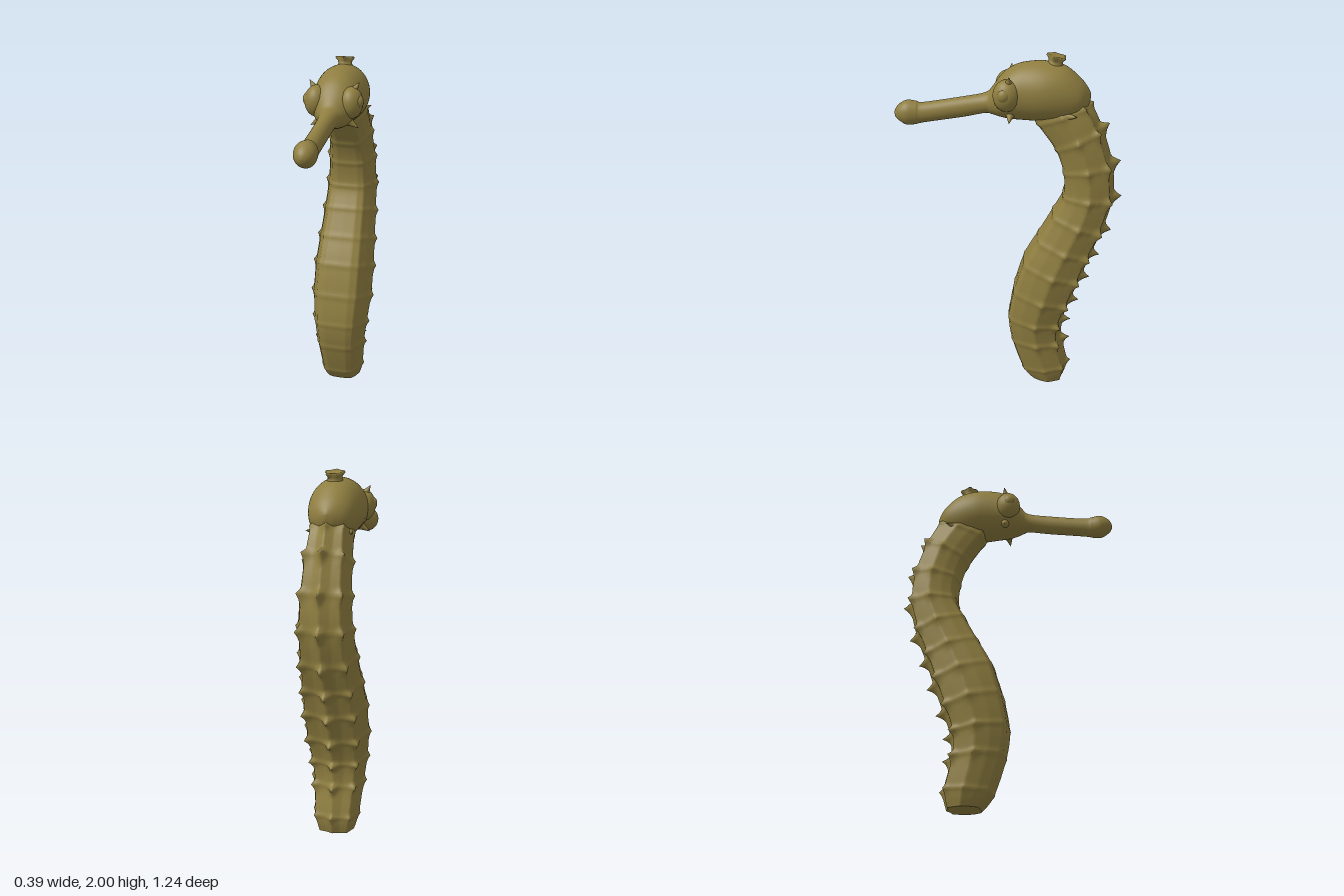
import * as THREE from 'three';

const skin = new THREE.MeshStandardMaterial({ color: 0x8f7e40 });
skin.name = 'olive skin';

// Catmull-Rom blend of table rows at parameter t (in rows)
function rowAt(rows, t) {
  const n = rows.length - 1;
  const i = Math.min(Math.floor(t), n - 1), f = t - i;
  const r = k => rows[Math.max(0, Math.min(n, k))];
  return rows[0].map((_, c) => {
    const p0 = r(i - 1)[c], p1 = r(i)[c], p2 = r(i + 1)[c], p3 = r(i + 2)[c];
    const a = (p2 - p0) / 2, b = (p3 - p1) / 2;
    return p1 + a * f + (3 * (p2 - p1) - 2 * a - b) * f * f + (2 * (p1 - p2) + a + b) * f * f * f;
  });
}

// Skin closed rings of points, with a flat cap on both ends
function loft(rings) {
  const pos = [], idx = [], m = rings[0].length;
  rings.forEach(ring => ring.forEach(p => pos.push(p.x, p.y, p.z)));
  for (let i = 0; i < rings.length - 1; i++) {
    for (let j = 0; j < m; j++) {
      const a = i * m + j, b = i * m + (j + 1) % m;
      idx.push(a, b, b + m, a, b + m, a + m);
    }
  }
  [rings[0], rings[rings.length - 1]].forEach((ring, end) => {
    const start = pos.length / 3;
    const mid = new THREE.Vector3();
    ring.forEach(p => { pos.push(p.x, p.y, p.z); mid.addScaledVector(p, 1 / m); });
    pos.push(mid.x, mid.y, mid.z);
    for (let j = 0; j < m; j++) {
      const a = start + j, b = start + (j + 1) % m;
      if (end) idx.push(a, b, start + m); else idx.push(b, a, start + m);
    }
  });
  const g = new THREE.BufferGeometry();
  g.setAttribute('position', new THREE.Float32BufferAttribute(pos, 3));
  g.setIndex(idx);
  g.computeVertexNormals();
  return g;
}

// Body rings: front z, front y, back z, back y, half width
const BODY = [
  [-0.146, 0, -0.33, 0, 0.105],
  [-0.085, 0.08, -0.35, 0.1, 0.128],
  [-0.02, 0.28, -0.315, 0.27, 0.146],
  [0, 0.44, -0.318, 0.4, 0.163],
  [-0.03, 0.62, -0.362, 0.54, 0.178],
  [-0.085, 0.8, -0.42, 0.7, 0.178],
  [-0.165, 0.95, -0.47, 0.85, 0.168],
  [-0.245, 1.1, -0.53, 1.01, 0.157],
  [-0.3, 1.22, -0.575, 1.21, 0.147],
  [-0.295, 1.36, -0.56, 1.41, 0.137],
  [-0.25, 1.49, -0.495, 1.61, 0.127],
  [-0.15, 1.63, -0.425, 1.74, 0.112],
  [-0.08, 1.72, -0.28, 1.85, 0.08],
];
// Half cross-section from belly centre round to spine: across, front-to-back
const SECTION = [[0, 0], [0.42, 0.005], [0.66, 0.05], [0.86, 0.25], [1, 0.5],
  [0.88, 0.69], [0.74, 0.89], [0.36, 0.92], [0, 1]];
// Ridges that carry spikes: section index and spike length
const RIDGES = [[4, 0.012], [6, 0.026], [8, 0.042]];

function bodyGeometry() {
  const SUB = 6, STEPS = 14, half = (SECTION.length - 1) * SUB;
  const rings = [];
  for (let s = 0; s <= (BODY.length - 1) * STEPS; s++) {
    const t = s / STEPS;
    const [fz, fy, bz, by, w] = rowAt(BODY, t);
    const k = Math.round(t), d = t - k;
    const plated = k >= 1 && k <= 11;
    // plate edge: a fine raised line; spike: long slope below, short above
    const edge = plated ? 0.005 * Math.exp(-((d / 0.08) ** 2)) : 0;
    const rise = !plated ? 0 : d <= 0 ? Math.max(0, 1 + d / 0.36) ** 1.5 : Math.max(0, 1 - d / 0.2) ** 1.5;
    const size = k === 1 || k === 11 ? 0.4 : 1;
    const len = Math.hypot(bz - fz, by - fy);
    const dz = (bz - fz) / len, dy = (by - fy) / len;
    const ring = [];
    for (let j = 0; j < half * 2; j++) {
      const side = j <= half ? 1 : -1;
      const q = (j <= half ? j : 2 * half - j) / SUB;
      const i = Math.min(Math.floor(q), SECTION.length - 2), f = q - i;
      let x = w * THREE.MathUtils.lerp(SECTION[i][0], SECTION[i + 1][0], f);
      let v = len * THREE.MathUtils.lerp(SECTION[i][1], SECTION[i + 1][1], f);
      let push = edge;
      RIDGES.forEach(([at, amp]) => {
        push += amp * size * rise * Math.max(0, 1 - Math.abs(q - at) / 0.7) ** 1.6;
      });
      const ox = x, ov = v - len * 0.5, o = Math.hypot(ox, ov);
      x += push * ox / o;
      v += push * ov / o;
      ring.push(new THREE.Vector3(side * x, Math.max(0, fy + dy * v), fz + dz * v));
    }
    rings.push(ring);
  }
  return loft(rings);
}

// Head and snout, back to front: z, top, bottom, half width
const HEAD = [
  [-0.43, 1.79, 1.77, 0.005], [-0.415, 1.82, 1.72, 0.045], [-0.37, 1.875, 1.67, 0.1],
  [-0.285, 1.94, 1.64, 0.132], [-0.18, 1.96, 1.64, 0.145], [-0.07, 1.95, 1.645, 0.134],
  [0, 1.92, 1.65, 0.125], [0.05, 1.875, 1.66, 0.105], [0.09, 1.82, 1.67, 0.072],
  [0.13, 1.785, 1.675, 0.053], [0.25, 1.76, 1.65, 0.047], [0.46, 1.725, 1.615, 0.047],
  [0.5, 1.73, 1.605, 0.053], [0.55, 1.735, 1.6, 0.06], [0.59, 1.715, 1.62, 0.046],
  [0.612, 1.69, 1.64, 0.024], [0.62, 1.667, 1.663, 0.002],
];

function headGeometry() {
  const rings = [], steps = 6;
  for (let s = 0; s <= (HEAD.length - 1) * steps; s++) {
    const [z, top, bottom, w] = rowAt(HEAD, s / steps);
    const ring = [];
    for (let j = 0; j < 48; j++) {
      const a = j / 48 * Math.PI * 2;
      ring.push(new THREE.Vector3(Math.cos(a) * w,
        (top + bottom) / 2 + Math.sin(a) * (top - bottom) / 2, z));
    }
    rings.push(ring);
  }
  return loft(rings);
}

// Five-pointed knob: flared lathe with its radius waved round the axis
function crownGeometry() {
  const profile = [[0.06, -0.04], [0.042, 0], [0.04, 0.015], [0.047, 0.03], [0.044, 0.038], [0.025, 0.034], [0, 0.033]];
  const g = new THREE.LatheGeometry(profile.map(p => new THREE.Vector2(...p)), 60);
  const p = g.attributes.position;
  for (let i = 0; i < p.count; i++) {
    const a = Math.atan2(p.getZ(i), p.getX(i));
    const point = Math.abs(Math.cos((a - Math.PI / 2) * 2.5)) ** 3;
    const k = 0.9 + 0.3 * point * THREE.MathUtils.clamp(p.getY(i) / 0.03, 0, 1);
    p.setX(i, p.getX(i) * k);
    p.setZ(i, p.getZ(i) * k);
  }
  g.computeVertexNormals();
  return g;
}

export function createModel() {
  const model = new THREE.Group();
  model.name = 'seahorse';
  const add = (name, geometry, x = 0, y = 0, z = 0) => {
    const mesh = new THREE.Mesh(geometry, skin);
    mesh.name = name;
    mesh.position.set(x, y, z);
    model.add(mesh);
    return mesh;
  };
  // Thorn from a base point to a tip
  const thorn = (name, base, tip, r) => {
    const a = new THREE.Vector3(...base), dir = new THREE.Vector3(...tip).sub(a);
    const len = dir.length();
    const pts = [[r, 0], [r * 0.55, len * 0.35], [r * 0.25, len * 0.7], [0, len]];
    const mesh = add(name, new THREE.LatheGeometry(pts.map(p => new THREE.Vector2(...p)), 16), ...base);
    mesh.quaternion.setFromUnitVectors(new THREE.Vector3(0, 1, 0), dir.normalize());
  };

  add('body', bodyGeometry());
  add('headAndSnout', headGeometry());
  add('crown', crownGeometry(), 0, 1.955, -0.24).rotation.x = -0.2;

  // Eyes and thorns on both sides
  for (const [label, s] of [['left', 1], ['right', -1]]) {
    const ball = new THREE.SphereGeometry(1, 32, 20);
    add(label + 'EyeSocket', ball, s * 0.095, 1.8, 0.01).scale.set(0.064, 0.085, 0.072);
    add(label + 'Eye', ball, s * 0.138, 1.81, 0.022).scale.set(0.028, 0.036, 0.034);
    thorn(label + 'BrowThorn', [s * 0.1, 1.855, 0], [s * 0.137, 1.91, -0.005], 0.032);
    thorn(label + 'CheekThorn', [s * 0.07, 1.7, -0.01], [s * 0.135, 1.66, -0.005], 0.035);
    thorn(label + 'NeckThorn', [s * 0.085, 1.69, -0.3], [s * 0.125, 1.7, -0.36], 0.03);
  }
  return model;
}
